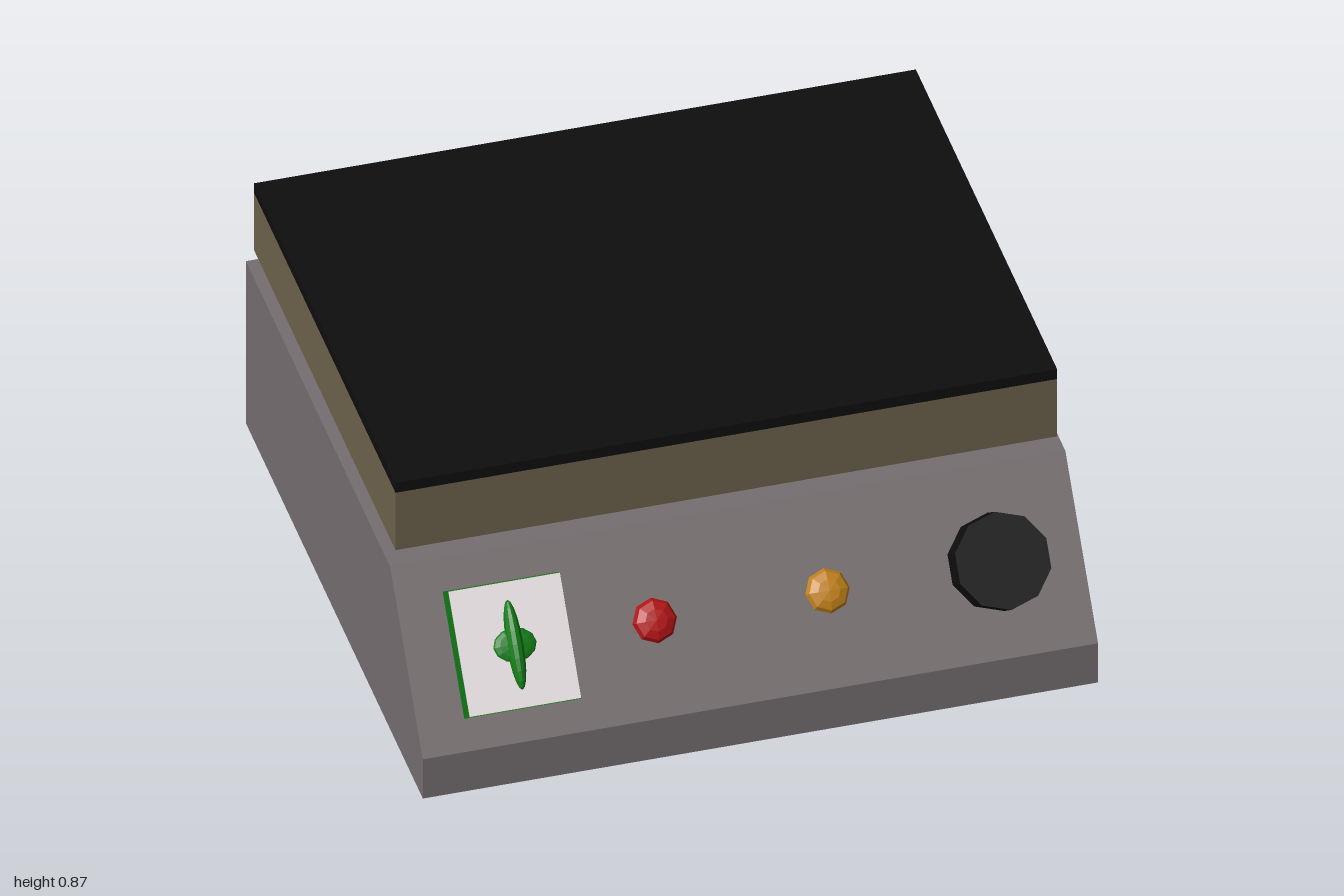
import * as THREE from 'three';

function material(name, color) {
  const m = new THREE.MeshStandardMaterial({ color });
  m.name = name;
  return m;
}

export function createModel() {
  const group = new THREE.Group();
  group.name = 'hotPlate';

  const grey = material('casing grey', 0x756e70);
  const black = material('black', 0x0e0e0e);
  const brown = material('plate brown', 0x6d624c);
  const green = material('switch green', 0x117a15);
  const white = material('switch face white', 0xeee6e8);
  const red = material('lamp red', 0xb01414);
  const amber = material('lamp amber', 0xc0801a);

  function add(parent, name, geometry, mat, x = 0, y = 0, z = 0) {
    // Faceted normals for every part
    const flat = geometry.index ? geometry.toNonIndexed() : geometry;
    flat.computeVertexNormals();
    const mesh = new THREE.Mesh(flat, mat);
    mesh.name = name;
    mesh.position.set(x, y, z);
    parent.add(mesh);
    return mesh;
  }

  // Casing: side profile (z, y) with a sloping front, extruded across x
  const profile = new THREE.Shape(
    [[-0.92, 0], [0.92, 0], [0.92, 0.14], [0.58, 0.58], [-0.92, 0.58]]
      .map(([z, y]) => new THREE.Vector2(-z, y)));
  const casing = new THREE.ExtrudeGeometry(profile, { depth: 2, bevelEnabled: false });
  casing.translate(0, 0, -1).rotateY(Math.PI / 2);
  add(group, 'casing', casing, grey);

  // Heating plate stack
  const plateZ = -0.17;
  add(group, 'plateNeck', new THREE.BoxGeometry(1.76, 0.05, 1.32), black, 0, 0.605, plateZ);
  add(group, 'plateBody', new THREE.BoxGeometry(1.96, 0.205, 1.47), brown, 0, 0.7275, plateZ);
  add(group, 'plateTop', new THREE.BoxGeometry(1.96, 0.035, 1.47), black, 0, 0.8475, plateZ);

  // Control panel: local z points out of the slope
  const panel = new THREE.Group();
  panel.name = 'controlPanel';
  panel.position.set(0, 0.36, 0.75);
  panel.rotation.x = -Math.atan2(0.34, 0.44);
  group.add(panel);

  // Rocker switch with its white face and lever
  const switchX = -0.695;
  add(panel, 'switchHousing', new THREE.BoxGeometry(0.332, 0.367, 0.068), green, switchX, 0, 0.034);
  add(panel, 'switchFace', new THREE.BoxGeometry(0.33, 0.362, 0.004), white, switchX, 0, 0.069);
  const hub = new THREE.SphereGeometry(1, 12, 8).rotateX(Math.PI / 2).scale(0.065, 0.05, 0.015);
  add(panel, 'switchHub', hub, green, switchX, 0, 0.07);
  const lever = new THREE.SphereGeometry(1, 12, 10).scale(0.025, 0.13, 0.035);
  add(panel, 'switchLever', lever, green, switchX, 0, 0.07);

  // Indicator lamps: shallow faceted domes
  for (const [name, x, mat] of [['redLamp', -0.265, red], ['amberLamp', 0.247, amber]]) {
    const dome = new THREE.SphereGeometry(1, 8, 6).rotateX(Math.PI / 2).scale(0.066, 0.066, 0.03);
    add(panel, name, dome, mat, x, 0, 0);
  }

  // Temperature dial
  const dial = new THREE.CylinderGeometry(0.142, 0.142, 0.1, 10).rotateX(Math.PI / 2);
  add(panel, 'temperatureDial', dial, black, 0.745, 0, 0.05);

  return group;
}
